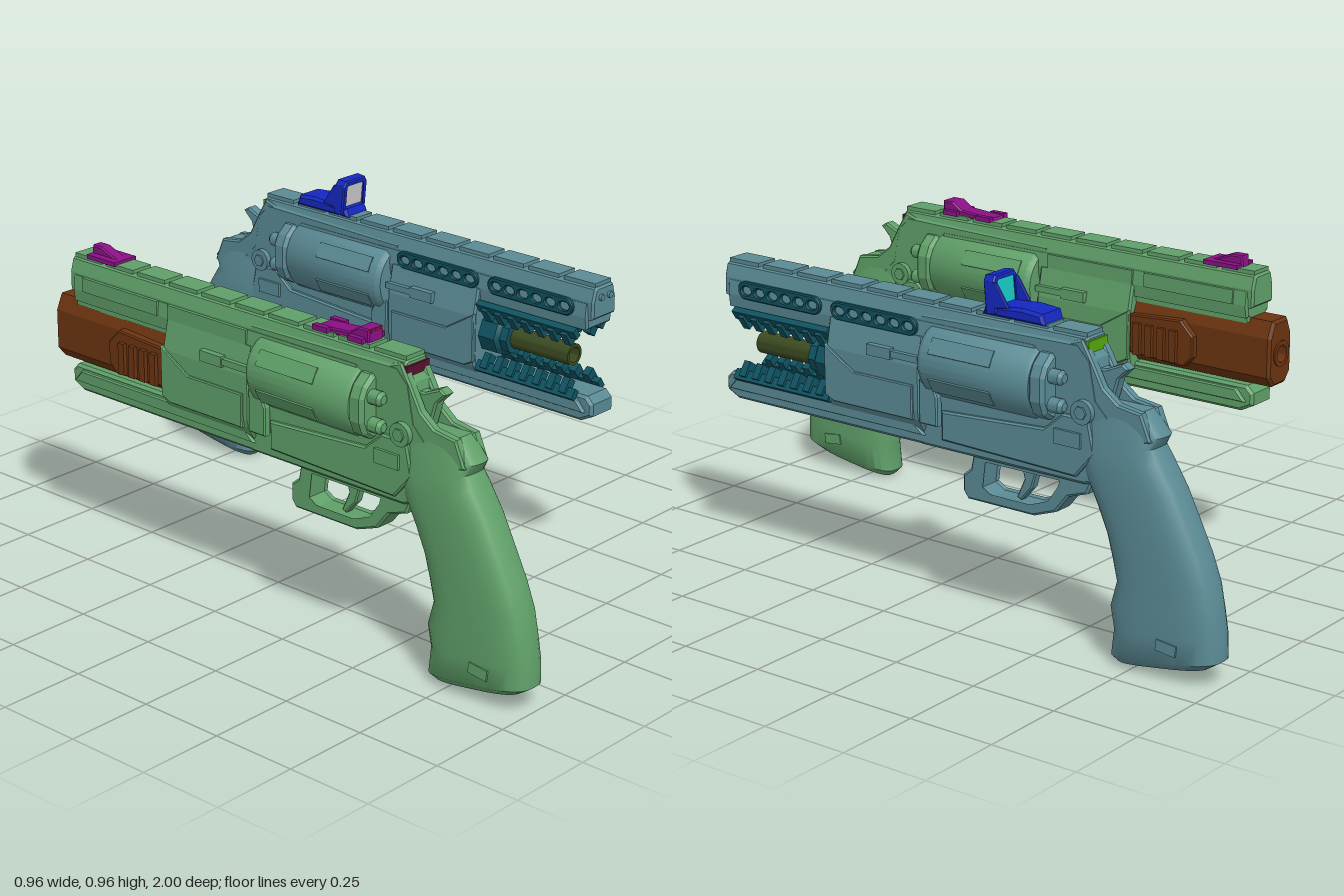
import * as THREE from 'three';
import { toCreasedNormals } from 'three/addons/utils/BufferGeometryUtils.js';

const mat = (color) => new THREE.MeshStandardMaterial({ color, side: THREE.DoubleSide });
const BLUE = mat(0x5a8a94), GREEN = mat(0x60a069), TEAL = mat(0x0f5260), OLIVE = mat(0x3a4a20);
const BROWN = mat(0x6b3410), PURPLE = mat(0x8a1085), NAVY = mat(0x1428c0), LIME = mat(0x55a80c);
const MAROON = mat(0x5a1030), GLASS = mat(0xcccccc), CYAN = mat(0x18c8c0), RED = mat(0xd02020);

const toShape = (pts) => new THREE.Shape(pts.map(([a, b]) => new THREE.Vector2(a, b)));

function add(parent, name, geo, material, x = 0, y = 0, z = 0) {
  const m = new THREE.Mesh(geo, material);
  m.name = name;
  m.position.set(x, y, z);
  parent.add(m);
  return m;
}
const box = (g, name, m, w, h, d, x, y, z) => add(g, name, new THREE.BoxGeometry(w, h, d), m, x, y, z);

function extrude(shape, depth, bevel) {
  return new THREE.ExtrudeGeometry(shape, {
    depth: depth - 2 * bevel, bevelEnabled: bevel > 0, bevelThickness: bevel, bevelSize: bevel,
    bevelOffset: -bevel, bevelSegments: 1, curveSegments: 10,
  }).translate(0, 0, bevel - depth / 2);
}
// Side profile in (z, y), given thickness across x
function plate(g, name, m, pts, half, bevel = 0.008, x = 0, hole) {
  const s = toShape(pts);
  if (hole) s.holes.push(toShape(hole));
  return add(g, name, extrude(s, half * 2, bevel).rotateY(-Math.PI / 2), m, x);
}
// Mirrored half cross-section in (x, y), run along z
function bar(g, name, m, half, z0, z1, bevel = 0.006, bore = 0, boreY = 0) {
  const s = toShape([...half, ...half.map(([x, y]) => [-x, y]).reverse()]);
  if (bore) s.holes.push(new THREE.Path().absarc(0, boreY, bore, 0, Math.PI * 2, true));
  return add(g, name, extrude(s, z1 - z0, bevel), m, 0, 0, (z0 + z1) / 2);
}
// Round part turned about the z axis from [radius, z] points
function turned(g, name, m, pts, x, y, z, seg = 24) {
  const geo = new THREE.LatheGeometry(pts.map(([r, h]) => new THREE.Vector2(r, h)), seg).rotateX(Math.PI / 2);
  return add(g, name, toCreasedNormals(geo, 0.6), m, x, y, z);
}

// Grip sections: front z, front y, back z, back y, half width
const GRIP = [
  [-.69, .006, -.96, .048, .042], [-.672, .025, -1, .075, .064], [-.682, .1, -.997, .14, .067],
  [-.67, .16, -.987, .2, .067], [-.69, .23, -.972, .27, .067], [-.676, .29, -.945, .34, .067],
  [-.66, .35, -.91, .41, .067], [-.63, .42, -.865, .5, .067], [-.595, .49, -.82, .57, .067],
  [-.57, .56, -.8, .6, .064], [-.575, .63, -.818, .63, .055], [-.61, .69, -.765, .69, .045],
];
function gripGeometry() {
  const n = 28, pos = [], idx = [];
  const pw = (v) => Math.sign(v) * Math.abs(v) ** 0.65;
  for (const [fz, fy, bz, by, w] of GRIP)
    for (let j = 0; j < n; j++) {
      const a = (j / n) * Math.PI * 2, t = (1 - pw(Math.sin(a))) / 2;
      pos.push(w * pw(Math.cos(a)), fy + (by - fy) * t, fz + (bz - fz) * t);
    }
  const last = GRIP.length - 1, c = GRIP.length * n;
  for (const [fz, fy, bz, by] of [GRIP[0], GRIP[last]]) pos.push(0, (fy + by) / 2, (fz + bz) / 2);
  for (let j = 0; j < n; j++) {
    const k = (j + 1) % n;
    for (let i = 0; i < last; i++) {
      const a = i * n + j, b = i * n + k;
      idx.push(a, a + n, b, b, a + n, b + n);
    }
    idx.push(c, j, k, c + 1, last * n + k, last * n + j);
  }
  const geo = new THREE.BufferGeometry();
  geo.setAttribute('position', new THREE.Float32BufferAttribute(pos, 3));
  geo.setIndex(idx);
  return toCreasedNormals(geo, 0.8);
}

// Shared revolver, muzzle toward +z
function revolver(m) {
  const g = new THREE.Group();
  add(g, 'grip', gripGeometry(), m);
  for (const s of [-1, 1]) box(g, 'gripInset', m, .006, .03, .06, s * .067, .1, -.87).rotation.x = -.12;

  // Top strap with sighting panels
  bar(g, 'topStrap', m, [[.05, .765], [.05, .815], [.04, .85], [.032, .855]], -.6, .615);
  for (let i = 0; i < 10; i++) box(g, 'topPanel', m, .068, .02, .105, 0, .855, .555 - i * .122);
  // Barrel block and underlug
  bar(g, 'barrelBlock', m, [[.045, .5], [.073, .545], [.077, .57], [.077, .69], [.06, .77]], -.09, .23);
  bar(g, 'barrelRib', m, [[.052, .735], [.056, .77], [.052, .81]], -.45, .6);
  plate(g, 'underlug', m, [[.62, .49], [.62, .525], [.6, .545], [-.2, .545], [-.2, .47], [.58, .47]], .048);
  for (const s of [-1, 1]) {
    plate(g, 'sidePanel', m, [[.23, .56], [.23, .7], [.13, .64], [-.07, .64], [-.07, .545], [.2, .545]], .007, .003, s * .077);
    plate(g, 'lugSkirt', m, [[.6, .5], [.57, .535], [-.05, .535], [-.09, .5]], .008, .004, s * .052);
    box(g, 'releaseRod', m, .02, .03, .08, s * .077, .712, .04);
    box(g, 'releaseRodTip', m, .014, .018, .1, s * .077, .712, -.04);
    plate(g, 'craneLatch', m, [[-.09, .54], [-.09, .66], [-.13, .66], [-.15, .62], [-.15, .54]], .012, .004, s * .068);
  }

  // Frame and rear cheeks
  plate(g, 'frame', m, [[-.07, .47], [-.07, .83], [-.58, .84], [-.62, .8], [-.64, .7], [-.7, .64], [-.7, .5], [-.6, .47]], .05);
  for (const s of [-1, 1]) {
    plate(g, 'rearCheek', m, [[-.5, .6], [-.5, .82], [-.59, .85], [-.62, .8], [-.655, .735], [-.7, .7], [-.77, .69], [-.8, .62], [-.7, .58]], .014, .005, s * .035);
    plate(g, 'lowerFrame', m, [[-.15, .5], [-.15, .58], [-.48, .6], [-.54, .65], [-.62, .65], [-.64, .56], [-.58, .49]], .012, .005, s * .05);
    add(g, 'framePin', new THREE.CylinderGeometry(.032, .032, .02, 20).rotateZ(Math.PI / 2), m, s * .056, .665, -.6);
    add(g, 'framePinHead', new THREE.CylinderGeometry(.018, .018, .03, 6).rotateZ(Math.PI / 2), m, s * .056, .665, -.6);
    box(g, 'cylinderLatch', m, .02, .04, .08, s * .06, .59, -.56);
  }
  plate(g, 'hammer', m, [[-.57, .72], [-.6, .775], [-.64, .775], [-.69, .797], [-.71, .785], [-.68, .755], [-.66, .69], [-.6, .68]], .018, .005);

  // Cylinder with flutes and recoil shield
  turned(g, 'cylinder', m, [[0, -.18], [.1, -.18], [.106, -.17], [.106, .165], [.096, .18], [0, .18]], 0, .71, -.28, 36);
  for (let i = 0; i < 6; i++) {
    const a = (i / 6) * Math.PI * 2;
    add(g, 'cylinderBand', new THREE.BoxGeometry(.045, .008, .2), m, Math.sin(a) * .104, .71 + Math.cos(a) * .104, -.24).rotation.z = -a;
  }
  bar(g, 'recoilShield', m, [[.06, .625], [.09, .645], [.104, .68], [.104, .745], [.09, .775], [.06, .8]], -.51, -.46, .01);
  for (const x of [-.065, .065]) for (const y of [.67, .745]) {
    turned(g, 'shieldScrew', m, [[0, -.03], [.012, -.03], [.02, -.02], [.02, .02], [0, .02]], x, y, -.52, 14);
  }

  // Trigger guard and trigger
  plate(g, 'triggerGuard', m,
    [[-.235, .48], [-.225, .43], [-.2, .41], [-.2, .365], [-.215, .345], [-.43, .345], [-.5, .37], [-.54, .42], [-.6, .44], [-.62, .49]],
    .035, .006, 0, [[-.27, .465], [-.26, .385], [-.29, .368], [-.42, .368], [-.48, .39], [-.515, .44], [-.52, .465]]);
  plate(g, 'trigger', m, [[-.37, .48], [-.385, .43], [-.36, .375], [-.375, .37], [-.41, .41], [-.43, .48]], .014, .004);
  return g;
}

function pills(g) {
  for (const s of [-1, 1]) for (const [z0, z1] of [[.26, .555], [-.07, .225]]) {
    const p = new THREE.Shape();
    p.absarc(z1 - .025, .79, .025, -Math.PI / 2, Math.PI / 2, false);
    p.absarc(z0 + .025, .79, .025, Math.PI / 2, Math.PI * 1.5, false);
    for (let i = 0; i < 6; i++) p.holes.push(new THREE.Path().absellipse(z0 + .03 + i * .047, .79, .017, .012, 0, Math.PI * 2, true));
    add(g, 'ventPanel', extrude(p, .014, .003).rotateY(-Math.PI / 2), TEAL, s * .056);
  }
}

function blueGun() {
  const g = revolver(BLUE);
  pills(g);
  // Open muzzle with comb teeth above and below the barrel
  turned(g, 'barrel', OLIVE, [[.022, .0], [.022, .52], [.031, .52], [.031, 0]], 0, .633, 0);
  turned(g, 'barrelCollar', TEAL, [[.03, .23], [.06, .23], [.06, .285], [.048, .295], [.048, .32], [.03, .32]], 0, .633, 0, 8);
  for (const s of [-1, 1]) {
    box(g, 'combSpine', TEAL, .09, .03, .36, 0, .633 + s * .112, .4);
    for (const x of [-1, 1]) {
      const spine = box(g, 'combSideSpine', TEAL, .018, .03, .34, x * .058, .633 + s * .088, .4);
      spine.rotation.z = -x * s * .6;
      for (let i = 0; i < 7; i++) {
        const t = box(g, 'combTooth', TEAL, .028, .045, .022, x * .052, .633 + s * .072, .26 + i * .046);
        t.rotation.z = -x * s * .6;
      }
    }
  }
  for (const x of [-.018, .018]) turned(g, 'muzzleBolt', BLUE, [[0, .006], [.009, .006], [.009, -.006], [0, -.006]], x, .825, .617, 12);
  // Reflex sight
  plate(g, 'sightBase', NAVY, [[-.27, .86], [-.28, .885], [-.4, .895], [-.46, .89], [-.47, .86]], .045);
  const hood = toShape([[-.05, 0], [-.05, .085], [-.04, .1], [.04, .1], [.05, .085], [.05, 0]]);
  hood.holes.push(toShape([[-.039, .012], [-.039, .082], [-.033, .09], [.033, .09], [.039, .082], [.039, .012]]));
  const h = add(g, 'sightHood', extrude(hood, .035, .004), NAVY, 0, .867, -.305);
  h.rotation.x = .1;
  for (const s of [-1, 1]) plate(g, 'sightWing', NAVY, [[-.29, .88], [-.29, .955], [-.32, .95], [-.36, .89]], .005, .002, s * .045);
  box(g, 'sightLensFront', GLASS, .08, .08, .004, 0, .919, -.293).rotation.x = .1;
  box(g, 'sightLensRear', CYAN, .08, .08, .004, 0, .919, -.31).rotation.x = .1;
  box(g, 'rearPlate', LIME, .08, .04, .02, 0, .825, -.596);
  return g;
}

function greenGun() {
  const g = revolver(GREEN);
  for (const s of [-1, 1]) for (const z of [.41, .08]) box(g, 'sideCover', GREEN, .012, .04, .29, s * .054, .79, z);
  // Heavy muzzle shroud with side ribs
  bar(g, 'muzzleShroud', BROWN, [[.03, .55], [.055, .58], [.055, .69], [.035, .735]], .2, .675, .008, .025, .64);
  turned(g, 'muzzleRing', BROWN, [[.024, .6], [.024, .68], [.036, .68], [.036, .66]], 0, .64, 0);
  for (const s of [-1, 1]) {
    plate(g, 'shroudCheek', BROWN, [[.23, .58], [.23, .69], [.4, .7], [.44, .66], [.44, .6], [.41, .57]], .014, .004, s * .062);
    for (let i = 0; i < 4; i++) box(g, 'shroudRib', BROWN, .02, .09, .022, s * .078, .625, .26 + i * .04);
  }
  bar(g, 'upperFiller', GREEN, [[.045, .72], [.045, .78]], .2, .6);
  // Iron sights
  plate(g, 'rearSight', PURPLE, [[-.28, .86], [-.29, .872], [-.4, .88], [-.43, .9], [-.465, .9], [-.465, .86]], .028, .004);
  for (const s of [-1, 1]) for (const z of [-.31, -.43]) box(g, 'rearSightLug', PURPLE, .018, .014, .05, s * .034, .87, z);
  plate(g, 'frontSight', PURPLE, [[.44, .86], [.45, .868], [.52, .895], [.555, .895], [.56, .86]], .018, .004);
  box(g, 'frontSightBase', PURPLE, .08, .012, .11, 0, .867, .5);
  for (const x of [-.018, 0, .018]) box(g, 'sightDot', RED, .007, .007, .004, x, .895, -.466);
  box(g, 'rearPlate', MAROON, .085, .042, .02, 0, .82, -.596);
  box(g, 'underRail', PURPLE, .04, .012, .4, 0, .468, 0);
  return g;
}

export function createModel() {
  const root = new THREE.Group();
  root.name = 'revolverPair';
  const blue = blueGun(), green = greenGun();
  blue.name = 'leftRevolver';
  blue.position.x = .375;
  green.name = 'rightRevolver';
  green.position.x = -.375;
  green.rotation.y = Math.PI;
  root.add(blue, green);
  return root;
}
